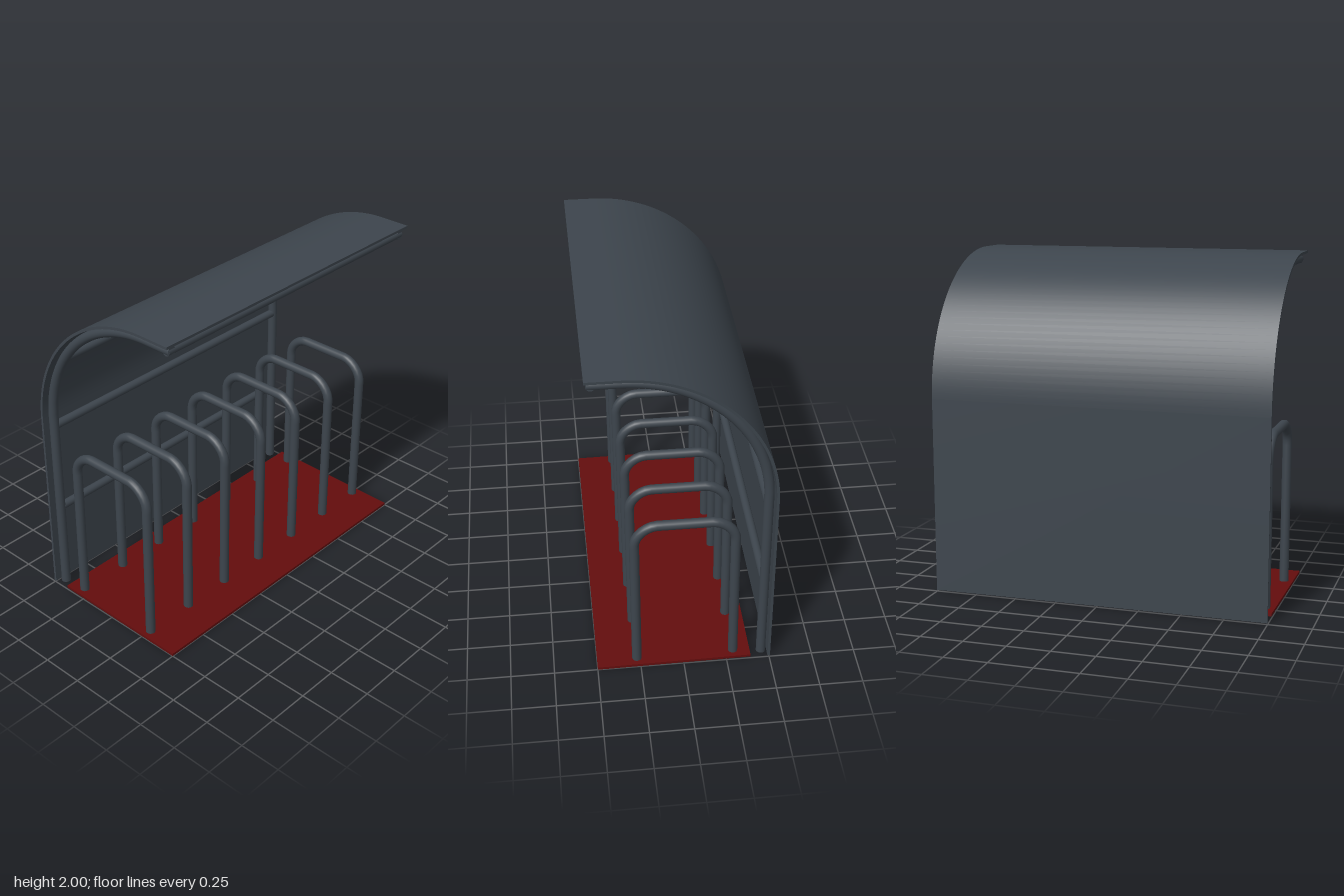
import * as THREE from 'three';
import { toCreasedNormals } from 'three/addons/utils/BufferGeometryUtils.js';

const steel = new THREE.MeshStandardMaterial({ color: 0x3d454d });
steel.name = 'dark steel';
const red = new THREE.MeshStandardMaterial({ color: 0x640d0d });
red.name = 'dark red';

const ARC_Z = 0.33, ARC_Y = 1.165; // centre of the roof bend
const v = (x, y, z) => new THREE.Vector3(x, y, z);

function add(parent, name, geometry, material) {
  const mesh = new THREE.Mesh(geometry, material);
  mesh.name = name;
  parent.add(mesh);
  return mesh;
}

// Polyline in the (z, y) plane: up the back, around the bend, out to the front
function canopyLine(radius, bottom, front) {
  const pts = [new THREE.Vector2(ARC_Z - radius, bottom)];
  for (let i = 0; i <= 32; i++) {
    const a = Math.PI - (i / 32) * Math.PI / 2;
    pts.push(new THREE.Vector2(ARC_Z + radius * Math.cos(a), ARC_Y + radius * Math.sin(a)));
  }
  pts.push(new THREE.Vector2(front, ARC_Y + radius));
  return pts;
}

// Pipe along a path, closed with a disc at both ends
function pipe(name, path, radius, segments) {
  const group = new THREE.Group();
  group.name = name;
  add(group, 'pipe', new THREE.TubeGeometry(path, segments, radius, 16), steel);
  for (const t of [0, 1]) {
    const cap = add(group, 'pipeEnd', new THREE.CircleGeometry(radius, 16), steel);
    const dir = path.getTangentAt(t).multiplyScalar(t ? 1 : -1);
    cap.position.copy(path.getPointAt(t));
    cap.quaternion.setFromUnitVectors(v(0, 0, 1), dir);
  }
  return group;
}

// Straight horizontal bar along x
function crossbar(name, y, z, radius, length) {
  const geo = new THREE.CylinderGeometry(radius, radius, length, 16).rotateZ(Math.PI / 2);
  geo.translate(0, y, z);
  return new THREE.Mesh(geo, steel);
}

function hoopPath() {
  const zf = 0.275, zb = -0.286, top = 1.007, r = 0.13;
  const path = new THREE.CurvePath();
  path.add(new THREE.LineCurve3(v(0, 0.015, zf - 0.006), v(0, top - r, zf)));
  path.add(new THREE.CubicBezierCurve3(v(0, top - r, zf), v(0, top - r * 0.45, zf),
    v(0, top, zf - r * 0.55), v(0, top, zf - r)));
  path.add(new THREE.LineCurve3(v(0, top, zf - r), v(0, top, zb + r)));
  path.add(new THREE.CubicBezierCurve3(v(0, top, zb + r), v(0, top, zb + r * 0.55),
    v(0, top - r * 0.45, zb), v(0, top - r, zb)));
  path.add(new THREE.LineCurve3(v(0, top - r, zb), v(0, 0.02, zb - 0.006)));
  return path;
}

export function createModel() {
  const model = new THREE.Group();
  model.name = 'bicycleShelter';

  // Curved back and roof sheet
  const outline = canopyLine(0.835, 0.01, 0.515)
    .concat(canopyLine(0.82, 0.01, 0.515).reverse());
  const sheet = new THREE.ExtrudeGeometry(new THREE.Shape(outline), { depth: 2, bevelEnabled: false });
  sheet.translate(0, 0, -1).rotateY(-Math.PI / 2);
  add(model, 'canopySheet', toCreasedNormals(sheet, 0.5), steel);

  // Bent side posts under the sheet
  const line = canopyLine(0.787, 0.01, 0.5);
  for (const side of [-1, 1]) {
    const path = new THREE.CurvePath();
    for (let i = 1; i < line.length; i++) {
      const a = line[i - 1], b = line[i];
      path.add(new THREE.LineCurve3(v(side * 0.948, a.y, a.x), v(side * 0.948, b.y, b.x)));
    }
    model.add(pipe(side > 0 ? 'leftPost' : 'rightPost', path, 0.028, 90));
  }

  // Crossbars following the line of the posts
  const bars = [['lowerBar', 0.555], ['middleBar', 1.115], ['upperBar', 1.61]];
  for (const [name, y] of bars) {
    const dy = Math.max(0, y - ARC_Y);
    const z = ARC_Z - Math.sqrt(0.787 ** 2 - dy ** 2);
    const bar = crossbar(name, y, z, 0.025, 1.87);
    bar.name = name;
    model.add(bar);
  }
  const frontBar = crossbar('frontBar', 1.951, 0.48, 0.025, 1.94);
  frontBar.name = 'frontBar';
  model.add(frontBar);

  // Seven bicycle hoops
  for (let i = -3; i <= 3; i++) {
    const hoop = pipe('bicycleHoop', hoopPath(), 0.028, 80);
    hoop.position.x = i * 0.315;
    model.add(hoop);
  }

  // Slightly sloping base plate
  const plate = add(model, 'basePlate', new THREE.BoxGeometry(2, 0.016, 0.89), red);
  plate.position.set(0, 0.0145, 0.055);
  plate.rotation.x = 0.012;

  return model;
}
